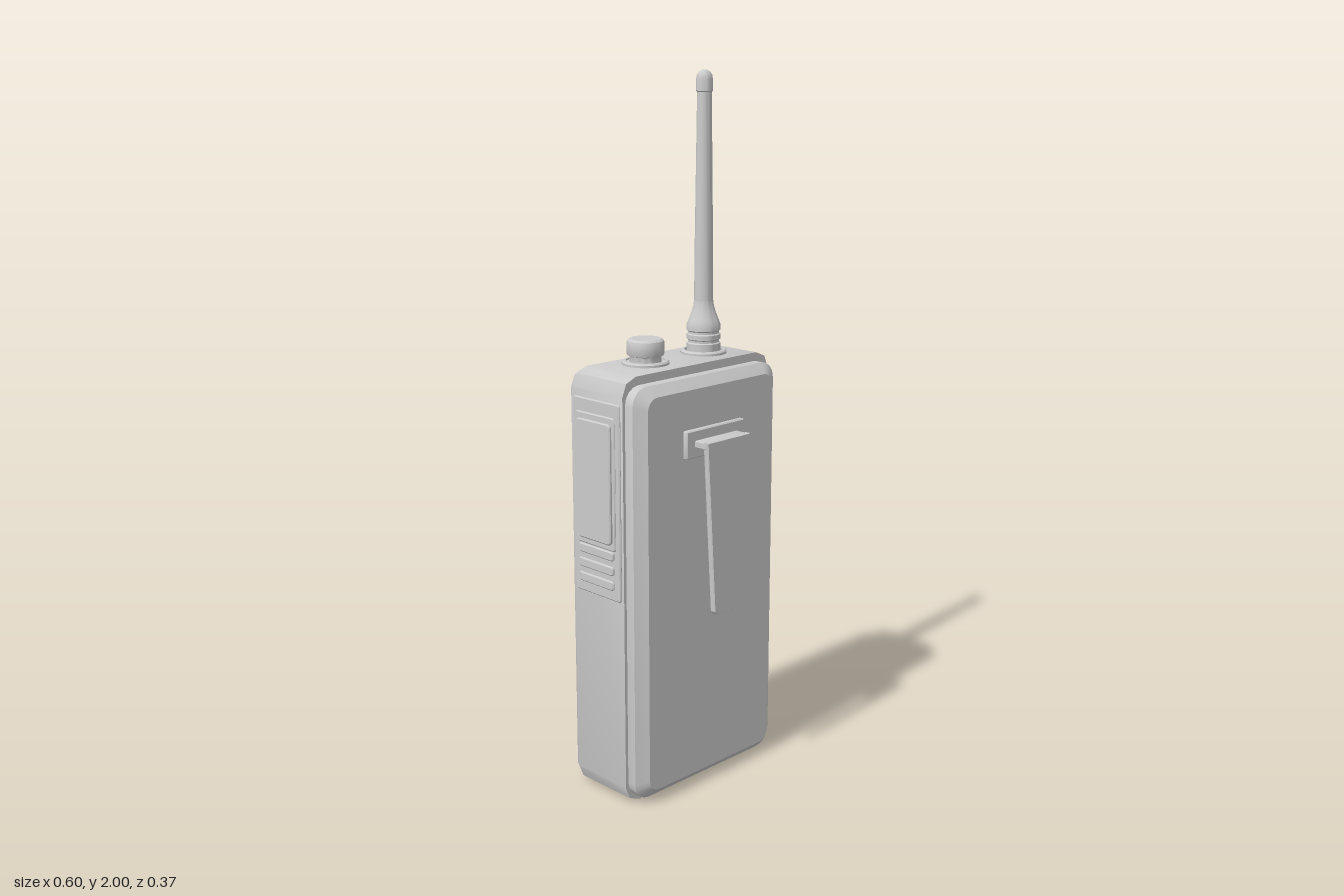
import * as THREE from 'three';
import { toCreasedNormals } from 'three/addons/utils/BufferGeometryUtils.js';

const material = new THREE.MeshStandardMaterial({ color: 0xcccccc });

function add(parent, name, geometry, x = 0, y = 0, z = 0, turn = 0) {
  const mesh = new THREE.Mesh(toCreasedNormals(geometry, 0.5), material);
  mesh.name = name;
  mesh.position.set(x, y, z);
  mesh.rotation.y = turn;
  parent.add(mesh);
  return mesh;
}

// Counter-clockwise rounded rectangle outline
function outline(w, h, r, steps = 3) {
  const points = [];
  [[1, 1], [-1, 1], [-1, -1], [1, -1]].forEach(([sx, sy], k) => {
    for (let i = 0; i <= steps; i++) {
      const a = (k + i / steps) * Math.PI / 2;
      points.push([sx * (w / 2 - r) + r * Math.cos(a), sy * (h / 2 - r) + r * Math.sin(a)]);
    }
  });
  return points;
}

// Closed solid through rounded rectangles [z, width, height, radius]
function loft(sections, steps) {
  const pos = [];
  const rings = sections.map(([z, w, h, r]) => outline(w, h, r, steps).map(([x, y]) => [x, y, z]));
  const tri = (...corners) => corners.forEach((c) => pos.push(...c));
  const n = rings[0].length;
  const first = rings[0], last = rings[rings.length - 1];
  for (let j = 0; j < n; j++) {
    const k = (j + 1) % n;
    for (let i = 0; i + 1 < rings.length; i++) {
      const a = rings[i], b = rings[i + 1];
      tri(a[j], a[k], b[k]);
      tri(a[j], b[k], b[j]);
    }
    tri([0, 0, first[0][2]], first[k], first[j]);
    tri([0, 0, last[0][2]], last[j], last[k]);
  }
  const geometry = new THREE.BufferGeometry();
  geometry.setAttribute('position', new THREE.Float32BufferAttribute(pos, 3));
  return geometry;
}

// Flat plate rising along +z with a bevelled outer face
function plate(w, h, depth, r = 0.008, bevel = 0.003) {
  return loft([
    [0, w, h, r],
    [depth - bevel, w, h, r],
    [depth, w - 2 * bevel, h - 2 * bevel, Math.max(r - bevel, 0.002)],
  ]);
}

function lathe(points, segments = 32) {
  return new THREE.LatheGeometry(points.map(([r, y]) => new THREE.Vector2(r, y)), segments);
}

function rectPath(Type, w, h, r, y = 0) {
  return new Type(outline(w, h, r).map(([x, py]) => new THREE.Vector2(x, py + y)));
}

function buildCase(root) {
  add(root, 'body', loft([
    [-0.148, 0.54, 1.19, 0.045],
    [-0.143, 0.556, 1.206, 0.048],
    [-0.13, 0.568, 1.218, 0.05],
    [0.067, 0.568, 1.218, 0.05],
  ], 2), 0, 0.612, 0);
  add(root, 'batteryPack', loft([
    [0.06, 0.55, 1.18, 0.05],
    [0.096, 0.55, 1.18, 0.05],
    [0.122, 0.488, 1.125, 0.035],
  ], 4), 0, 0.607, 0);
}

function buildBack(root) {
  const back = new THREE.Group();
  back.name = 'controlFace';
  back.rotation.y = Math.PI;
  root.add(back);

  // Raised panel with openings for the top slot and the screen
  const shape = rectPath(THREE.Shape, 0.476, 0.68, 0.03);
  shape.holes.push(rectPath(THREE.Path, 0.4, 0.042, 0.004, 0.282));
  shape.holes.push(rectPath(THREE.Path, 0.376, 0.236, 0.012, -0.18));
  const panel = new THREE.ExtrudeGeometry(shape, {
    depth: 0.028, bevelSize: 0.004, bevelThickness: 0.004, bevelSegments: 1,
  });
  add(back, 'facePanel', panel, 0, 0.84, 0.144);
  add(back, 'topSlot', plate(0.41, 0.055, 0.02), 0, 1.122, 0.145);
  add(back, 'screen', plate(0.39, 0.25, 0.02), 0, 0.66, 0.145);

  for (const y of [1.03, 0.947, 0.862]) {
    add(back, 'speakerBar', plate(0.418, 0.041, 0.018), 0, y, 0.17);
  }

  // Four by four keypad
  for (let row = 0; row < 4; row++) {
    for (let col = 0; col < 4; col++) {
      add(back, 'key', plate(0.066, 0.056, 0.016, 0.006),
        (col - 1.5) * 0.1, 0.13 + row * 0.095, 0.141);
    }
  }
}

function buildSides(root) {
  const side = (name, s, w, h, y, z, from, to, r) =>
    add(root, name, plate(w, h, to - from, r), s * from, y, z, s * Math.PI / 2);

  // Left: button strip
  side('buttonStrip', 1, 0.16, 0.5, 0.887, -0.032, 0.275, 0.29);
  for (const [y, h] of [[1.088, 0.078], [0.697, 0.068]]) {
    side('sideButton', 1, 0.116, h, y, -0.032, 0.28, 0.296);
    side('sideButtonCap', 1, 0.096, h * 0.6, y, -0.036, 0.285, 0.299);
  }
  for (const y of [0.975, 0.895, 0.82]) {
    side('gripRib', 1, 0.125, 0.03, y, -0.032, 0.28, 0.296);
  }

  // Right: long talk button with two small bars below
  side('talkStrip', -1, 0.183, 0.55, 0.875, -0.033, 0.275, 0.289);
  side('talkButtonRim', -1, 0.155, 0.37, 0.927, -0.035, 0.28, 0.293);
  side('talkButton', -1, 0.135, 0.335, 0.927, -0.035, 0.28, 0.301, 0.012);
  for (const y of [0.727, 0.685, 0.643]) {
    side('lowerBar', -1, 0.14, 0.026, y, -0.035, 0.28, 0.295);
  }
}

function buildClip(root) {
  const clip = new THREE.Group();
  clip.name = 'beltClip';
  root.add(clip);
  add(clip, 'clipMount', plate(0.226, 0.078, 0.022, 0.004), 0, 1.022, 0.115);
  add(clip, 'clipBridge', plate(0.166, 0.02, 0.05, 0.004), 0, 1.022, 0.13);
  const blade = new THREE.Shape([
    [-0.083, 1.033], [-0.052, 0.545], [-0.044, 0.535],
    [0.044, 0.535], [0.052, 0.545], [0.083, 1.033],
  ].map(([x, y]) => new THREE.Vector2(x, y)));
  add(clip, 'clipBlade', new THREE.ExtrudeGeometry(blade, {
    depth: 0.012, bevelSize: 0.002, bevelOffset: -0.002, bevelThickness: 0.003, bevelSegments: 1,
  }), 0, 0, 0.17);
}

function buildTop(root) {
  const collar = [[0, 1.21], [0.066, 1.21], [0.066, 1.227], [0.062, 1.231], [0.054, 1.231]];

  add(root, 'volumeKnob', lathe([
    ...collar, [0.054, 1.227], [0.044, 1.227], [0.044, 1.244], [0.05, 1.246],
    [0.052, 1.25], [0.052, 1.281], [0.05, 1.286], [0.043, 1.291], [0, 1.291],
  ]), -0.097, 0, -0.04);

  const antenna = new THREE.Group();
  antenna.name = 'antenna';
  antenna.position.set(0.13, 0, -0.04);
  root.add(antenna);
  add(antenna, 'antennaCollar', lathe([...collar, [0.054, 1.222], [0, 1.222]]));
  add(antenna, 'antennaBase', lathe([
    [0.048, 1.215], [0.048, 1.25], [0.044, 1.253], [0.044, 1.259], [0.048, 1.262],
    [0.048, 1.275], [0.044, 1.278], [0.044, 1.284], [0.048, 1.287], [0.048, 1.302],
    [0.043, 1.315], [0.035, 1.335], [0.029, 1.355], [0.027, 1.37],
  ]));
  add(antenna, 'antennaWhip', lathe([[0.027, 1.365], [0.026, 1.5], [0.02, 1.95]], 24));
  add(antenna, 'antennaTip', lathe([
    [0.019, 1.94], [0.023, 1.944], [0.023, 1.975], [0.021, 1.986],
    [0.016, 1.994], [0.009, 1.999], [0, 2],
  ], 24));
}

export function createModel() {
  const root = new THREE.Group();
  root.name = 'handheldRadio';
  buildCase(root);
  buildBack(root);
  buildSides(root);
  buildClip(root);
  buildTop(root);
  return root;
}
